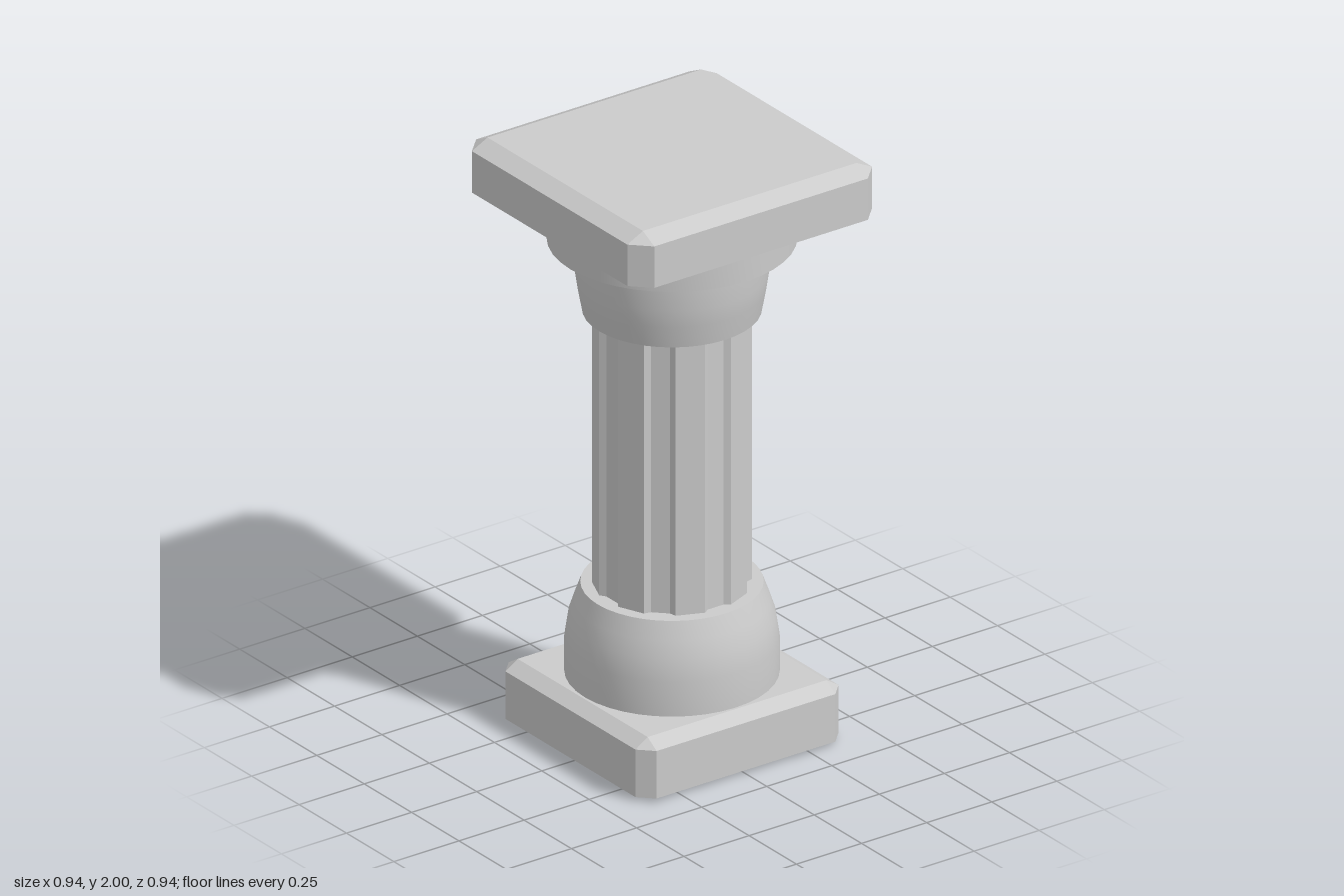
import * as THREE from 'three';
import { toCreasedNormals } from 'three/addons/utils/BufferGeometryUtils.js';
import { ConvexGeometry } from 'three/addons/geometries/ConvexGeometry.js';

const material = new THREE.MeshStandardMaterial({ color: 0xcccccc });

function addPart(group, name, geometry) {
  const mesh = new THREE.Mesh(geometry, material);
  mesh.name = name;
  group.add(mesh);
}

// Square block with chamfered corners and bevelled top and bottom edges
function chamferedBlock(half, inset, y0, y1, y2, y3) {
  const points = [];
  const inner = half - inset;
  for (const sx of [-1, 1]) {
    for (const sz of [-1, 1]) {
      for (const y of [y0, y3]) points.push(new THREE.Vector3(sx * inner, y, sz * inner));
      for (const y of [y1, y2]) {
        points.push(new THREE.Vector3(sx * half, y, sz * inner));
        points.push(new THREE.Vector3(sx * inner, y, sz * half));
      }
    }
  }
  return new ConvexGeometry(points);
}

// Round solid from [radius, height] pairs, listed bottom to top
function turned(profile) {
  const points = profile.map(([r, y]) => new THREE.Vector2(r, y));
  return toCreasedNormals(new THREE.LatheGeometry(points, 40), 0.5);
}

// Shaft with eight shallow, flat-bottomed flutes
function flutedShaft(y0, y1) {
  const outline = [];
  for (let i = 0; i < 8; i++) {
    const a = (i * Math.PI) / 4;
    for (const [d, w] of [[0.243, -0.05], [0.23, -0.03], [0.23, 0.03], [0.243, 0.05]]) {
      outline.push(new THREE.Vector2(
        d * Math.cos(a) - w * Math.sin(a),
        d * Math.sin(a) + w * Math.cos(a)
      ));
    }
  }
  const geometry = new THREE.ExtrudeGeometry(new THREE.Shape(outline), {
    depth: y1 - y0, bevelEnabled: false
  });
  return geometry.rotateX(-Math.PI / 2).translate(0, y0, 0);
}

export function createModel() {
  const column = new THREE.Group();
  column.name = 'column';

  addPart(column, 'plinth', chamferedBlock(0.39, 0.047, 0, 0.013, 0.177, 0.207));
  addPart(column, 'base', turned([
    [0, 0.2], [0.335, 0.2], [0.335, 0.325], [0.324, 0.4], [0.306, 0.455], [0.285, 0.513], [0, 0.513]
  ]));
  addPart(column, 'shaft', flutedShaft(0.5, 1.47));
  addPart(column, 'capital', turned([
    [0, 1.455], [0.28, 1.455], [0.294, 1.53], [0.303, 1.59], [0.303, 1.71], [0, 1.71]
  ]));
  addPart(column, 'collar', turned([[0, 1.7], [0.39, 1.7], [0.39, 1.823], [0, 1.823]]));
  addPart(column, 'topSlab', chamferedBlock(0.47, 0.06, 1.817, 1.827, 1.97, 2));

  return column;
}
